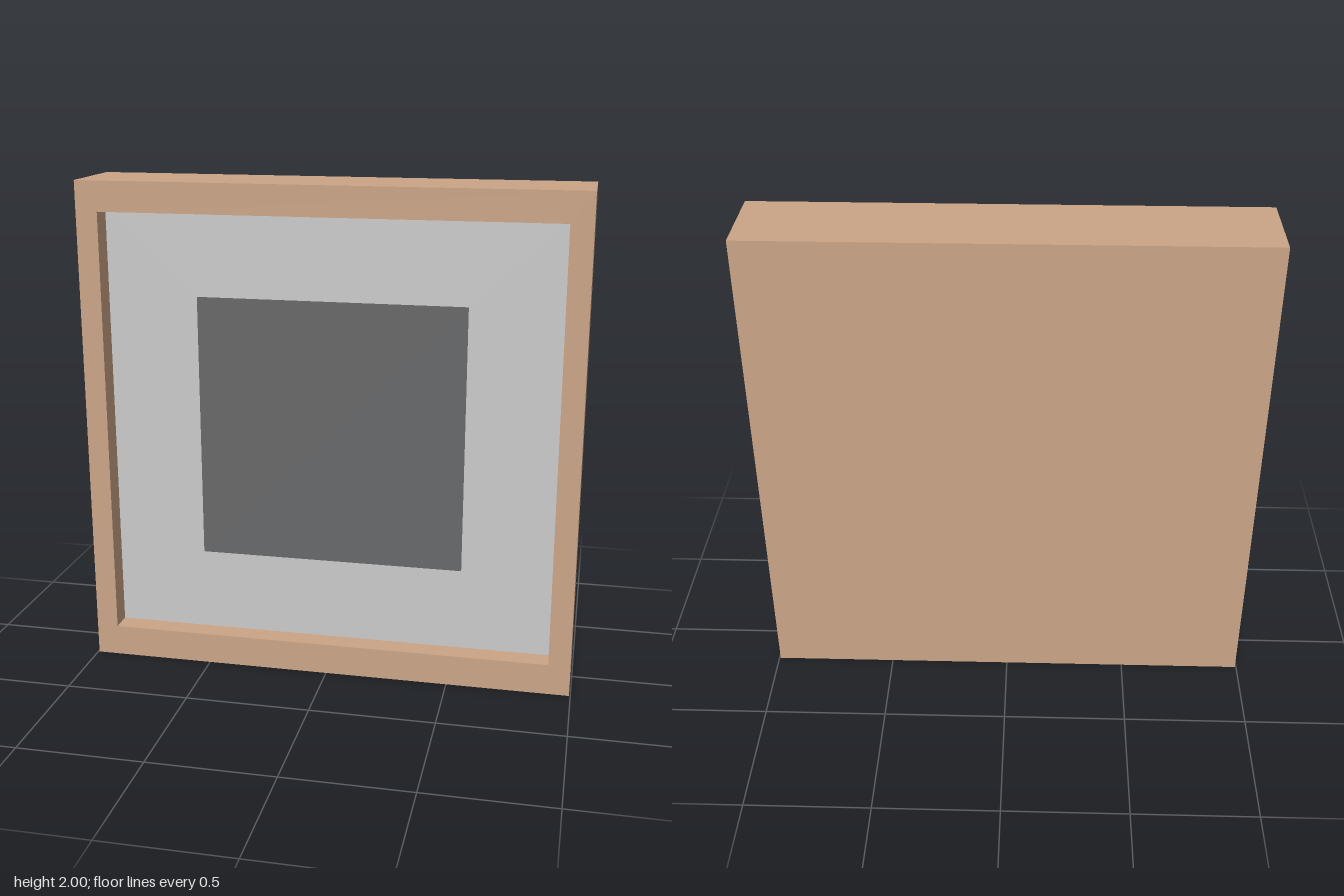
import * as THREE from 'three';

const DEPTH = 0.174;    // half the frame depth
const PANEL_Z = 0.084;  // face of the recessed panel
const OUTER = [-0.995, 0, 0.995, 2];
const OPENING = [-0.907, 0.127, 0.907, 1.88];
const INSET = [-0.54, 0.463, 0.54, 1.543];

// corners of a rectangle [x0, y0, x1, y1], counter-clockwise from the front
const corners = ([x0, y0, x1, y1], z) => [[x0, y0, z], [x1, y0, z], [x1, y1, z], [x0, y1, z]];

function quads(list) {
  const pos = [];
  for (const [a, b, c, d] of list) pos.push(...a, ...b, ...c, ...a, ...c, ...d);
  const g = new THREE.BufferGeometry();
  g.setAttribute('position', new THREE.Float32BufferAttribute(pos, 3));
  g.computeVertexNormals();
  return g;
}

// joins successive rectangular loops with quads
function loft(loops) {
  const list = [];
  for (let i = 0; i + 1 < loops.length; i++) {
    const p = loops[i], q = loops[i + 1];
    for (let j = 0; j < 4; j++) {
      const k = (j + 1) % 4;
      list.push([p[j], p[k], q[k], q[j]]);
    }
  }
  return list;
}

function part(name, list, color) {
  const mesh = new THREE.Mesh(quads(list), new THREE.MeshStandardMaterial({ color }));
  mesh.name = name;
  return mesh;
}

export function createModel() {
  const group = new THREE.Group();
  group.name = 'framedPanel';

  // closed back, outer sides, front rim and inner walls of the opening
  const back = corners(OUTER, -DEPTH);
  const frame = loft([back, corners(OUTER, DEPTH), corners(OPENING, DEPTH), corners(OPENING, PANEL_Z)]);
  frame.push([...back].reverse());
  group.add(part('frame', frame, 0xcba587));

  // grey mount surrounding a flush dark square
  group.add(part('mount', loft([corners(OPENING, PANEL_Z), corners(INSET, PANEL_Z)]), 0xcccccc));
  group.add(part('darkSquare', [corners(INSET, PANEL_Z)], 0x68696a));
  return group;
}
